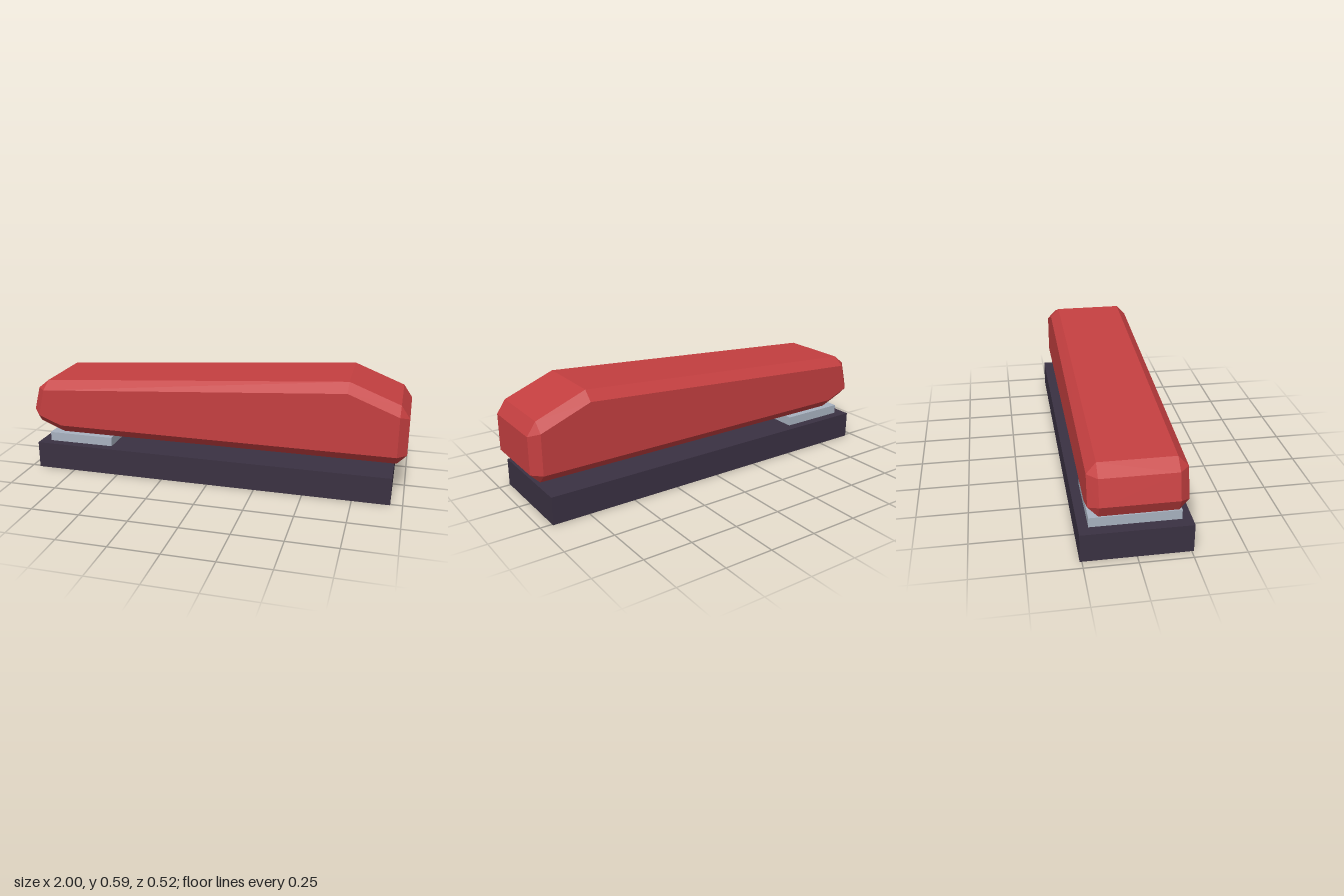
import * as THREE from 'three';
import { ConvexGeometry } from 'three/addons/geometries/ConvexGeometry.js';

const makeMaterial = (name, color) => {
  const material = new THREE.MeshStandardMaterial({ color });
  material.name = name;
  return material;
};

export function createModel() {
  const red = makeMaterial('red', 0xc43f40);
  const dark = makeMaterial('dark purple', 0x3a3142);
  const steel = makeMaterial('steel grey', 0xa8b2c0);

  const group = new THREE.Group();
  group.name = 'stapler';

  const add = (name, geometry, material) => {
    const mesh = new THREE.Mesh(geometry, material);
    mesh.name = name;
    group.add(mesh);
    return mesh;
  };

  // Box given by its x and y limits, centred on z
  const addBox = (name, x0, x1, y0, y1, depth, material) =>
    add(name, new THREE.BoxGeometry(x1 - x0, y1 - y0, depth), material)
      .position.set((x0 + x1) / 2, (y0 + y1) / 2, 0);

  // Base and anvil plate
  addBox('base', -0.955, 0.94, 0, 0.142, 0.52, dark);
  addBox('anvilPlate', -0.9, -0.545, 0.142, 0.19, 0.426, steel);

  // Chamfered upper arm: side outline plus the wider outline inside the chamfer
  const sideOutline = [
    [-0.957, 0.287], [-0.92, 0.431], [0.698, 0.545],
    [0.953, 0.445], [0.953, 0.238], [-0.832, 0.238],
  ];
  const outerOutline = [
    [-1, 0.307], [-0.967, 0.431], [-0.908, 0.478], [0.7, 0.593], [0.955, 0.493],
    [1, 0.427], [1, 0.238], [0.953, 0.19], [-0.834, 0.19], [-0.967, 0.243],
  ];
  const points = [];
  for (const side of [-1, 1]) {
    for (const [x, y] of sideOutline) points.push(new THREE.Vector3(x, y, side * 0.224));
    for (const [x, y] of outerOutline) points.push(new THREE.Vector3(x, y, side * 0.178));
  }
  add('upperArm', new ConvexGeometry(points), red);

  return group;
}
